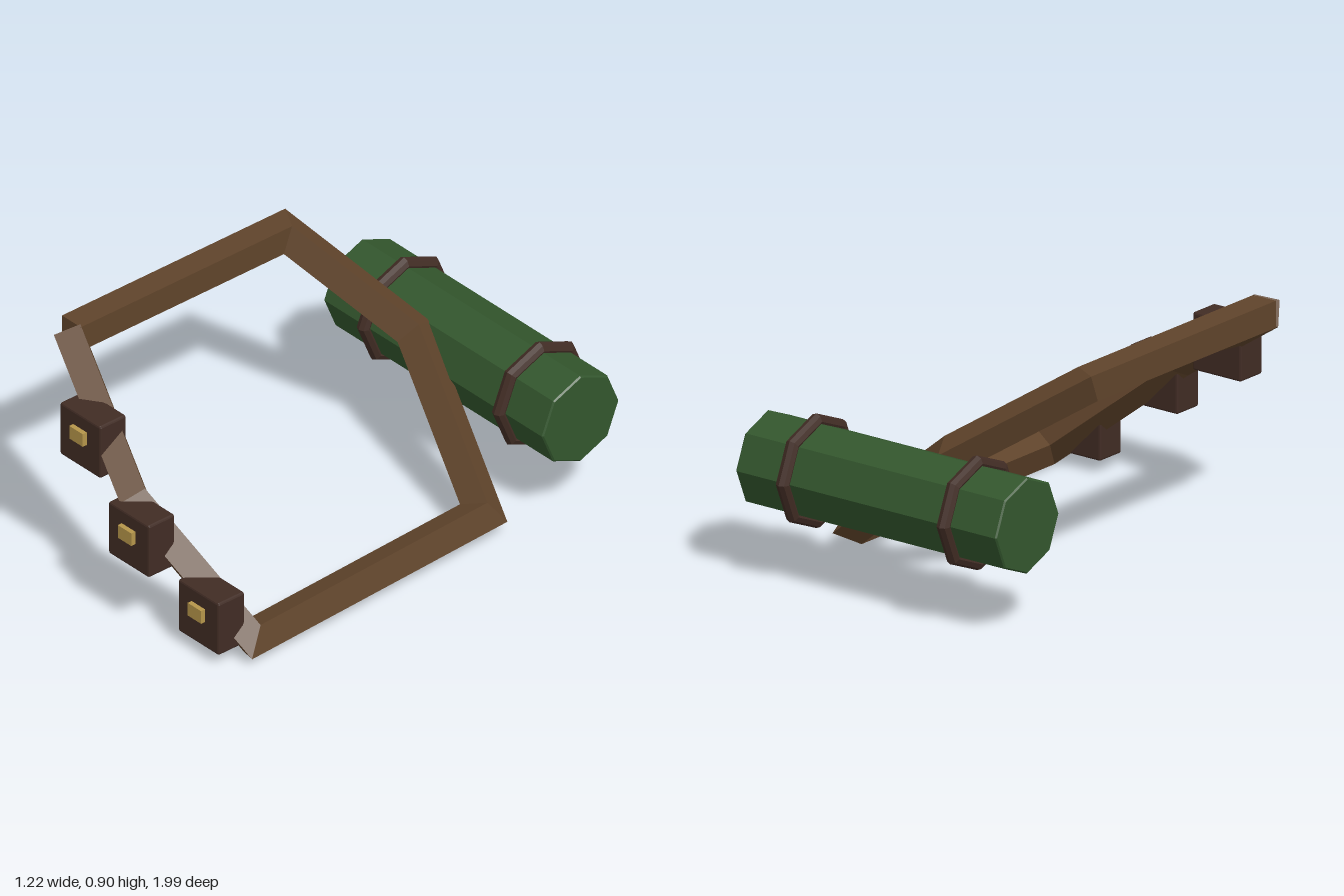
import * as THREE from 'three';
import { RoundedBoxGeometry } from 'three/addons/geometries/RoundedBoxGeometry.js';

const mat = (name, color) => {
  const m = new THREE.MeshStandardMaterial({ color });
  m.name = name;
  return m;
};

// Sweeps a square section along a polyline with mitred corners and capped ends
function sweepSquare(points, size) {
  const dirs = points.slice(1).map((p, i) => p.clone().sub(points[i]).normalize());
  const h = size / 2;
  const up = new THREE.Vector3(0, 1, 0);
  const side = new THREE.Vector3().crossVectors(dirs[0], up).normalize();
  up.crossVectors(side, dirs[0]);
  const turn = new THREE.Quaternion();
  const rings = points.map((p, i) => {
    const din = dirs[Math.max(i - 1, 0)];
    const dout = dirs[Math.min(i, dirs.length - 1)];
    const n = din.clone().add(dout).normalize();
    const ring = [[-h, -h], [h, -h], [h, h], [-h, h]].map(([a, b]) => {
      const o = side.clone().multiplyScalar(a).addScaledVector(up, b);
      return o.addScaledVector(din, -o.dot(n) / din.dot(n)).add(p);
    });
    turn.setFromUnitVectors(din, dout);
    side.applyQuaternion(turn);
    up.applyQuaternion(turn);
    return ring;
  });
  const pos = [];
  const quad = (a, b, c, d) => [a, b, c, a, c, d].forEach(v => pos.push(v.x, v.y, v.z));
  for (let i = 0; i < rings.length - 1; i++) {
    for (let k = 0; k < 4; k++) {
      const j = (k + 1) % 4;
      quad(rings[i][k], rings[i + 1][k], rings[i + 1][j], rings[i][j]);
    }
  }
  const first = rings[0], last = rings[rings.length - 1];
  quad(first[0], first[1], first[2], first[3]);
  quad(last[3], last[2], last[1], last[0]);
  // The side axis is dir x up, so reverse each triangle to face outwards if needed
  const g = new THREE.BufferGeometry();
  const a = new THREE.Vector3().fromArray(pos, 0);
  const b = new THREE.Vector3().fromArray(pos, 3);
  const c = new THREE.Vector3().fromArray(pos, 6);
  const normal = b.clone().sub(a).cross(c.sub(a));
  const mid = points[0].clone().add(points[1]).multiplyScalar(0.5);
  if (normal.dot(a.add(b).multiplyScalar(0.5).sub(mid)) < 0) {
    for (let t = 0; t < pos.length; t += 9) {
      for (let k = 0; k < 3; k++) [pos[t + 3 + k], pos[t + 6 + k]] = [pos[t + 6 + k], pos[t + 3 + k]];
    }
  }
  g.setAttribute('position', new THREE.Float32BufferAttribute(pos, 3));
  g.computeVertexNormals();
  return g;
}

export function createModel() {
  const model = new THREE.Group();
  model.name = 'bandolierWithBedroll';
  const leather = mat('strapLeather', 0x60442b);
  const dark = mat('darkLeather', 0x412c24);
  const brass = mat('brass', 0xb6964a);
  const cloth = mat('greenCloth', 0x33562d);
  leather.flatShading = dark.flatShading = cloth.flatShading = true;

  const add = (name, geometry, material, x = 0, y = 0, z = 0, parent = model) => {
    const m = new THREE.Mesh(geometry, material);
    m.name = name;
    m.position.set(x, y, z);
    parent.add(m);
    return m;
  };

  // Slanted strap loop, left open where its two ends meet
  const path = [
    [-0.558, 0.84, 0.68], [-0.558, 0.84, -0.355], [-0.1, 0.53, -0.583],
    [0.475, 0.09, -0.42], [0.52, 0.068, 0.745], [0.01, 0.48, 0.872], [-0.558, 0.84, 0.69],
  ].map(p => new THREE.Vector3(...p));
  add('strap', sweepSquare(path, 0.105), leather);

  // Three pouches with clasps along the front of the strap
  [[-0.26, 0.612, 0.835], [0.098, 0.388, 0.912], [0.398, 0.163, 0.835]].forEach(([x, y, z]) => {
    const pouch = new THREE.Group();
    pouch.name = 'pouch';
    pouch.position.set(x, y, z);
    model.add(pouch);
    add('pouchBody', new RoundedBoxGeometry(0.225, 0.225, 0.127, 1, 0.008), dark, 0, 0, 0, pouch);
    add('clasp', new THREE.BoxGeometry(0.075, 0.055, 0.03), brass, 0, 0.027, 0.068, pouch);
  });

  // Eight-sided bedroll with a small chamfer at each end
  const profile = [[0, -0.61], [0.18, -0.61], [0.186, -0.604], [0.186, 0.604], [0.18, 0.61], [0, 0.61]]
    .map(p => new THREE.Vector2(...p));
  add('bedroll', new THREE.LatheGeometry(profile, 8).rotateZ(Math.PI / 2), cloth, 0, 0.415, -0.775);

  // Straps tied around the bedroll
  for (const x of [-0.373, 0.379]) {
    add('bedrollTie', new THREE.TorusGeometry(0.195, 0.027, 8, 8).rotateY(Math.PI / 2), dark, x, 0.415, -0.775);
  }
  return model;
}
